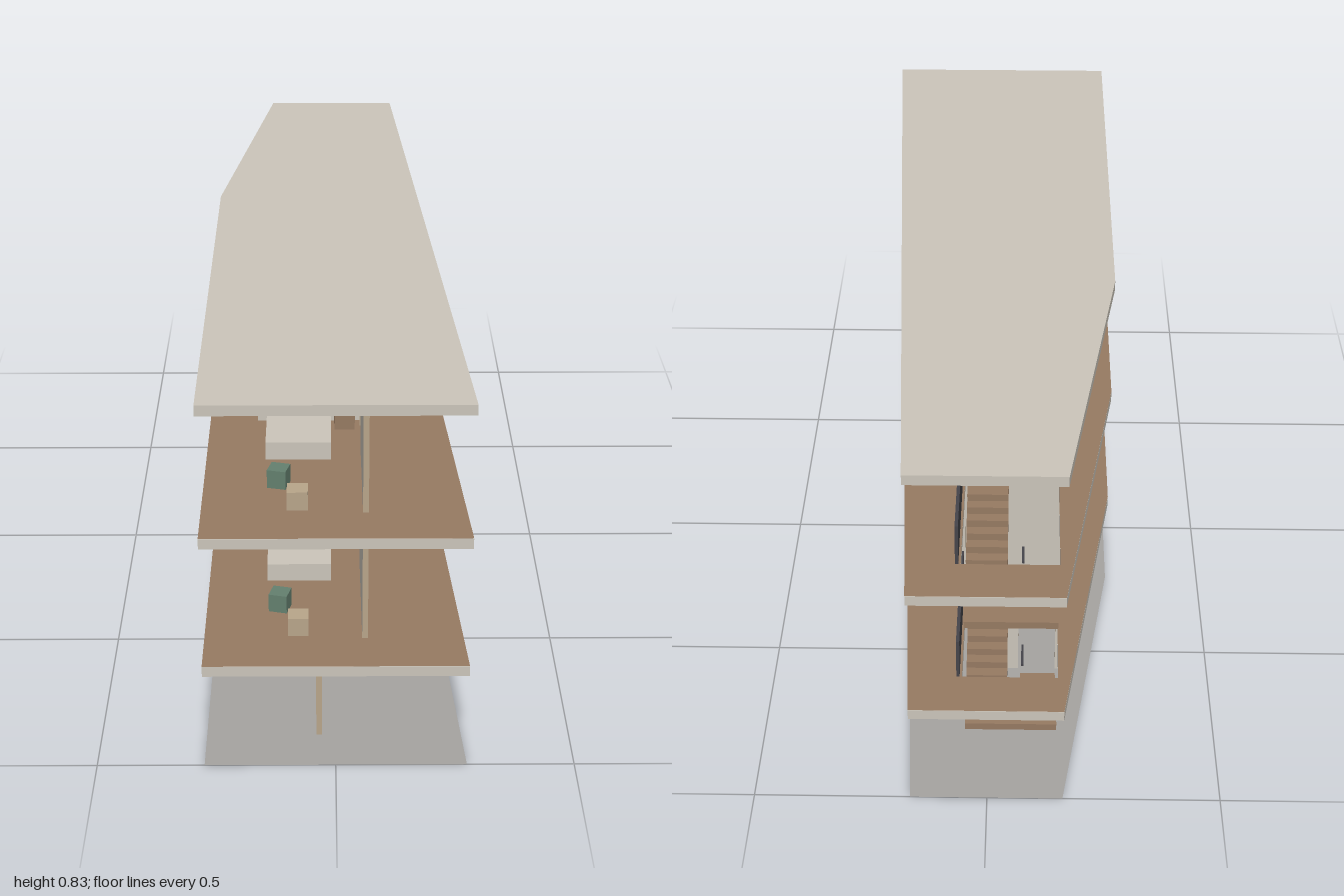
import * as THREE from 'three';

const mat = (name, color, side = THREE.FrontSide) => {
  const m = new THREE.MeshStandardMaterial({ color, side });
  m.name = name;
  return m;
};

export function createModel() {
  const concrete = mat('concrete', 0xcbc5ba);
  const tan = mat('tan', 0xb8a58a);
  const wood = mat('wood', 0x967a62);
  const stool = mat('dark tan', 0x9c8768);
  const green = mat('green', 0x64806f);
  const dark = mat('charcoal', 0x45444a);
  const ground = mat('ground grey', 0xa5a3a0, THREE.DoubleSide);

  const model = new THREE.Group();
  model.name = 'building';

  const add = (name, geo, material, parent = model) => {
    const m = new THREE.Mesh(geo, material);
    m.name = name;
    parent.add(m);
    return m;
  };
  // Box given by its min and max on each axis
  const box = (name, x0, x1, y0, y1, z0, z1, material, parent) => {
    const m = add(name, new THREE.BoxGeometry(x1 - x0, y1 - y0, z1 - z0), material, parent);
    m.position.set((x0 + x1) / 2, (y0 + y1) / 2, (z0 + z1) / 2);
    return m;
  };
  const seat = (name, x, y, z, size, turn, material, parent) => {
    const m = add(name, new THREE.BoxGeometry(size, 0.042, size), material, parent);
    m.position.set(x, y + 0.021, z);
    m.rotation.y = turn;
    return m;
  };
  const pts = (list) => list.map(([x, y]) => new THREE.Vector2(x, y));

  // Floor plates: tapered plan, upper floors with a stairwell opening
  const plan = (hole) => {
    const s = new THREE.Shape(pts([[-0.275, -1], [0.275, -1], [0.165, 1], [-0.162, 1], [-0.275, 0.21]]));
    if (hole) s.holes.push(new THREE.Path(pts([[-0.15, 0.57], [-0.15, 0.89], [0.055, 0.89], [0.055, 0.57]])));
    return s;
  };
  const slab = (name, y0, y1, hole) => {
    const g = new THREE.ExtrudeGeometry(plan(hole), { depth: y1 - y0, bevelEnabled: false });
    g.rotateX(-Math.PI / 2);
    add(name, g, concrete).position.y = y0;
  };
  const sheet = (name, y, hole, material) => {
    const g = new THREE.ShapeGeometry(plan(hole));
    g.rotateX(-Math.PI / 2);
    add(name, g, material).position.y = y;
  };
  sheet('ground', 0, false, ground);
  slab('firstFloorSlab', 0.218, 0.241, true);
  sheet('firstFloorBoards', 0.242, true, wood);
  slab('secondFloorSlab', 0.516, 0.539, true);
  sheet('secondFloorBoards', 0.54, true, wood);
  slab('roof', 0.81, 0.833, false);

  // Wall panel with door notches; faces are concrete, edges and jambs tan
  const T = 0.012;
  const panel = (u0, u1, h, doors, doorH) => {
    const p = [[u0, 0]];
    for (const [a, b] of doors) p.push([a, 0], [a, doorH], [b, doorH], [b, 0]);
    p.push([u1, 0], [u1, h], [u0, h]);
    return new THREE.ExtrudeGeometry(new THREE.Shape(pts(p)), { depth: T, bevelEnabled: false });
  };
  const crossWall = (name, x0, x1, y, z, h, doors = [], doorH = 0.197) =>
    add(name, panel(x0, x1, h, doors, doorH), [concrete, tan]).position.set(0, y, z - T / 2);
  const longWall = (name, z0, z1, y, xOuter, h, doors = [], doorH = 0.197) => {
    const g = panel(z0, z1, h, doors, doorH);
    g.rotateY(-Math.PI / 2);
    add(name, g, [concrete, tan]).position.set(xOuter, y, 0);
  };

  // Ground floor
  longWall('groundLongWall', -0.554, 0.89, 0.001, -0.029, 0.217);
  crossWall('groundStairWall', -0.17, 0.053, 0.001, -0.56, 0.217, [[-0.148, -0.063]], 0.196);
  const frame = new THREE.Shape(pts([[0.135, 0], [0.168, 0], [0.168, 0.217], [0.062, 0.217], [0.062, 0.196], [0.135, 0.196]]));
  add('entranceFrame', new THREE.ExtrudeGeometry(frame, { depth: T, bevelEnabled: false }), [concrete, tan])
    .position.set(0, 0.001, -0.36 - T / 2);
  seat('frontStool', 0.115, 0.001, 0.62, 0.05, 0.26, stool);
  seat('middleStool', 0.025, 0.001, 0.14, 0.044, 0.2, stool);
  seat('middleStool', 0.018, 0.001, 0.064, 0.046, -0.3, wood);
  seat('middleStool', 0.026, 0.001, 0.016, 0.044, 0.2, stool);

  // Upper floors: three rooms in a row, corridor wall and stair wall
  const H = 0.276;
  for (const y of [0.241, 0.539]) {
    longWall('corridorWall', -0.424, 0.89, y, 0.068, H, [[-0.4, -0.31], [0.043, 0.134], [0.482, 0.572]], 0.198);
    crossWall('rearRoomWall', -0.17, 0.068, y, -0.43, H);
    crossWall('stairWall', -0.17, 0.068, y, -0.56, H, [[-0.03, 0.056]], 0.198);
    box('stairRailing', 0.06, 0.067, y, y + 0.095, -0.89, -0.567, dark);
    for (let i = 0; i < 3; i++) {
      const z = -0.43 + i * 0.44;
      if (i) crossWall('partition', -0.17, 0.056, y, z, H);
      const room = new THREE.Group();
      room.name = 'roomFurniture';
      room.position.set(0, y, z);
      model.add(room);
      box('bed', -0.148, -0.008, 0, 0.042, 0.007, 0.2, concrete, room);
      box('cabinet', 0, 0.045, 0, 0.042, 0.007, 0.053, wood, room);
      seat('tanChair', -0.078, 0, 0.41, 0.043, 0, tan, room);
      seat('greenChair', -0.118, 0, 0.316, 0.04, -0.25, green, room);
    }
  }

  // Two-flight stairs with a half landing and a stepped handrail
  const RUN = 0.0255, TURN = -0.78;
  const stairs = (base, mid, top) => {
    const g = new THREE.Group();
    g.name = 'stairs';
    model.add(g);
    const n1 = Math.round((mid - base) / 0.016);
    const n2 = Math.round((top - mid) / 0.016) - 1;
    const r1 = (mid - base) / n1, r2 = (top - mid) / (n2 + 1);
    for (let i = 0; i < n1; i++) {
      const z = TURN + (n1 - i) * RUN, y = base + (i + 1) * r1;
      box('lowerStep', -0.148, -0.068, y - r1 + 0.001, y, z - RUN - 0.012, z, wood, g);
      box('handrailPiece', -0.0755, -0.0705, y + 0.078, y + 0.083, z - RUN - 0.008, z, dark, g);
    }
    for (let i = 0; i < n2; i++) {
      const z = TURN + i * RUN, y = mid + (i + 1) * r2;
      box('upperStep', -0.04, 0.05, y - r2, y, z - 0.012, z + RUN, wood, g);
    }
    box('landing', -0.148, 0.05, mid - 0.016, mid, -0.89, -0.765, wood, g);
  };
  stairs(0, 0.112, 0.241);
  stairs(0.241, 0.39, 0.539);

  return model;
}
